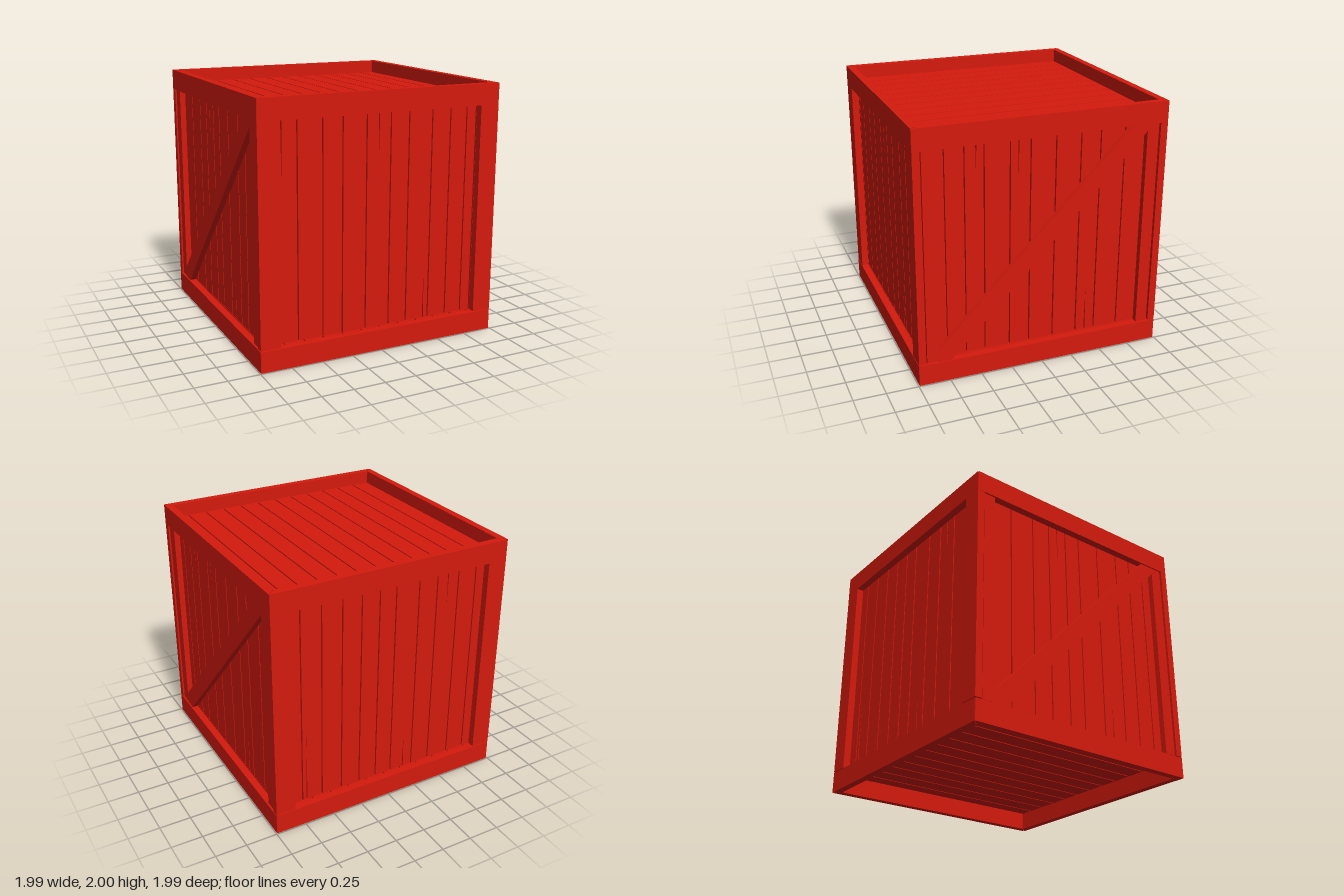
import * as THREE from 'three';

const H = 0.993;      // half width of the crate
const IN = 0.935;     // inner face of the rails
const RAIL = 0.165;   // rail height
const LOW = 0.175, HIGH = 1.865; // wall plank ends
const THICK = 0.025, GAP = 0.01;

const wood = new THREE.MeshStandardMaterial({ color: 0xd51a0d, flatShading: true });

// Extrude an outline given as [x, y] points, from z = 0 to z = depth
function slab(name, points, depth) {
  const shape = new THREE.Shape(points.map(([x, y]) => new THREE.Vector2(x, y)));
  const geo = new THREE.ExtrudeGeometry(shape, { depth, bevelEnabled: false });
  const mesh = new THREE.Mesh(geo, wood);
  mesh.name = name;
  return mesh;
}

function box(name, x0, x1, y0, y1, z0, z1) {
  const mesh = new THREE.Mesh(new THREE.BoxGeometry(x1 - x0, y1 - y0, z1 - z0), wood);
  mesh.position.set((x0 + x1) / 2, (y0 + y1) / 2, (z0 + z1) / 2);
  mesh.name = name;
  return mesh;
}

// Upright plank with an optional split running in from its top or bottom end
function plank(x0, x1, split) {
  const pts = [[x0, LOW], [x1, LOW], [x1, HIGH], [x0, HIGH]];
  if (split) {
    const m = x0 + (x1 - x0) * split.at, w = 0.005;
    if (split.top) pts.splice(3, 0, [m + w, HIGH], [m, HIGH - split.len], [m - w, HIGH]);
    else pts.splice(1, 0, [m - w, LOW], [m, LOW + split.len], [m + w, LOW]);
  }
  return slab('wallPlank', pts, THICK);
}

// Wall of planks in a local frame that faces +z
function wall(name, half, joints, splits) {
  const g = new THREE.Group();
  g.name = name;
  const edges = [-half, ...joints, half];
  for (let i = 0; i < edges.length - 1; i++) {
    const p = plank(edges[i] + GAP / 2, edges[i + 1] - GAP / 2, splits[i]);
    p.position.z = IN - 0.002 - THICK;
    g.add(p);
  }
  return g;
}

// Four mitred rails around the crate
function railFrame(name, y) {
  const g = new THREE.Group();
  g.name = name;
  const m = 0.003;
  for (let i = 0; i < 4; i++) {
    const rail = slab('rail', [[-H + m, -H], [H - m, -H], [IN - m, -IN], [-IN + m, -IN]], RAIL);
    rail.rotation.x = -Math.PI / 2;
    const side = new THREE.Group();
    side.name = 'railSide';
    side.add(rail);
    side.rotation.y = i * Math.PI / 2;
    side.position.y = y;
    g.add(side);
  }
  return g;
}

// Horizontal panel of planks running front to back
function deck(name, y) {
  const g = new THREE.Group();
  g.name = name;
  const joints = [-IN, -0.78, -0.62, -0.465, -0.305, -0.145, 0.01, 0.175, 0.335, 0.495, 0.655, 0.81, IN];
  for (let i = 0; i < joints.length - 1; i++) {
    g.add(box('deckPlank', joints[i] + GAP / 2, joints[i + 1] - GAP / 2, y, y + THICK, -IN + 0.001, IN - 0.001));
  }
  return g;
}

export function createModel() {
  const crate = new THREE.Group();
  crate.name = 'crate';

  // Rails and horizontal panels
  crate.add(railFrame('bottomRails', 0), railFrame('topRails', 2 - RAIL));
  crate.add(deck('bottomPanel', 0.142), deck('topPanel', 1.87));

  // Plank walls, joints measured in each wall's own frame
  const front = wall('frontWall', 0.93,
    [-0.825, -0.67, -0.47, -0.31, -0.115, 0.085, 0.24, 0.44, 0.6, 0.745, 0.83],
    { 1: { at: 0.2, len: 0.55, top: true }, 5: { at: 0.5, len: 0.45, top: true }, 7: { at: 0.8, len: 0.4 } });
  const back = wall('backWall', 0.93,
    [-0.74, -0.57, -0.4, -0.24, -0.09, 0.05, 0.25, 0.41, 0.6, 0.76],
    { 1: { at: 0.2, len: 0.6 }, 6: { at: 0.6, len: 0.3 }, 8: { at: 0.5, len: 0.35, top: true } });
  back.rotation.y = Math.PI;
  const left = wall('leftWall', 0.905,
    [-0.75, -0.6, -0.45, -0.25, -0.09, 0.11, 0.31, 0.47, 0.67],
    { 2: { at: 0.6, len: 0.3, top: true }, 4: { at: 0.4, len: 0.3, top: true }, 7: { at: 0.5, len: 0.35 } });
  left.rotation.y = Math.PI / 2;
  const right = wall('rightWall', 0.905,
    [-0.64, -0.43, -0.27, -0.1, 0.04, 0.24, 0.45, 0.6, 0.75],
    { 3: { at: 0.5, len: 0.35, top: true }, 6: { at: 0.4, len: 0.3 } });
  right.rotation.y = -Math.PI / 2;
  crate.add(front, back, left, right);

  // Corner posts: a wide board on the front or back, a narrow one on the side
  const y0 = 0.172, y1 = 2 - RAIL;
  for (const sx of [-1, 1]) for (const sz of [-1, 1]) {
    const span = (s, a, b) => (s > 0 ? [a, b] : [-b, -a]);
    crate.add(box('cornerPost', ...span(sx, 0.835, H - 0.001), y0, y1, ...span(sz, IN, H - 0.001)));
    crate.add(box('cornerPostSide', ...span(sx, IN, 0.982), y0, y1, ...span(sz, 0.83, 0.925)));
  }

  // Diagonal brace on each side
  for (const s of [-1, 1]) {
    const brace = slab(s > 0 ? 'leftBrace' : 'rightBrace',
      [[-0.83, RAIL], [-0.73, RAIL], [0.83, 1.78], [0.83, y1], [0.71, y1], [-0.83, 0.26]], 0.047);
    brace.rotation.y = s * Math.PI / 2;
    brace.position.x = s * IN;
    crate.add(brace);
  }
  return crate;
}
